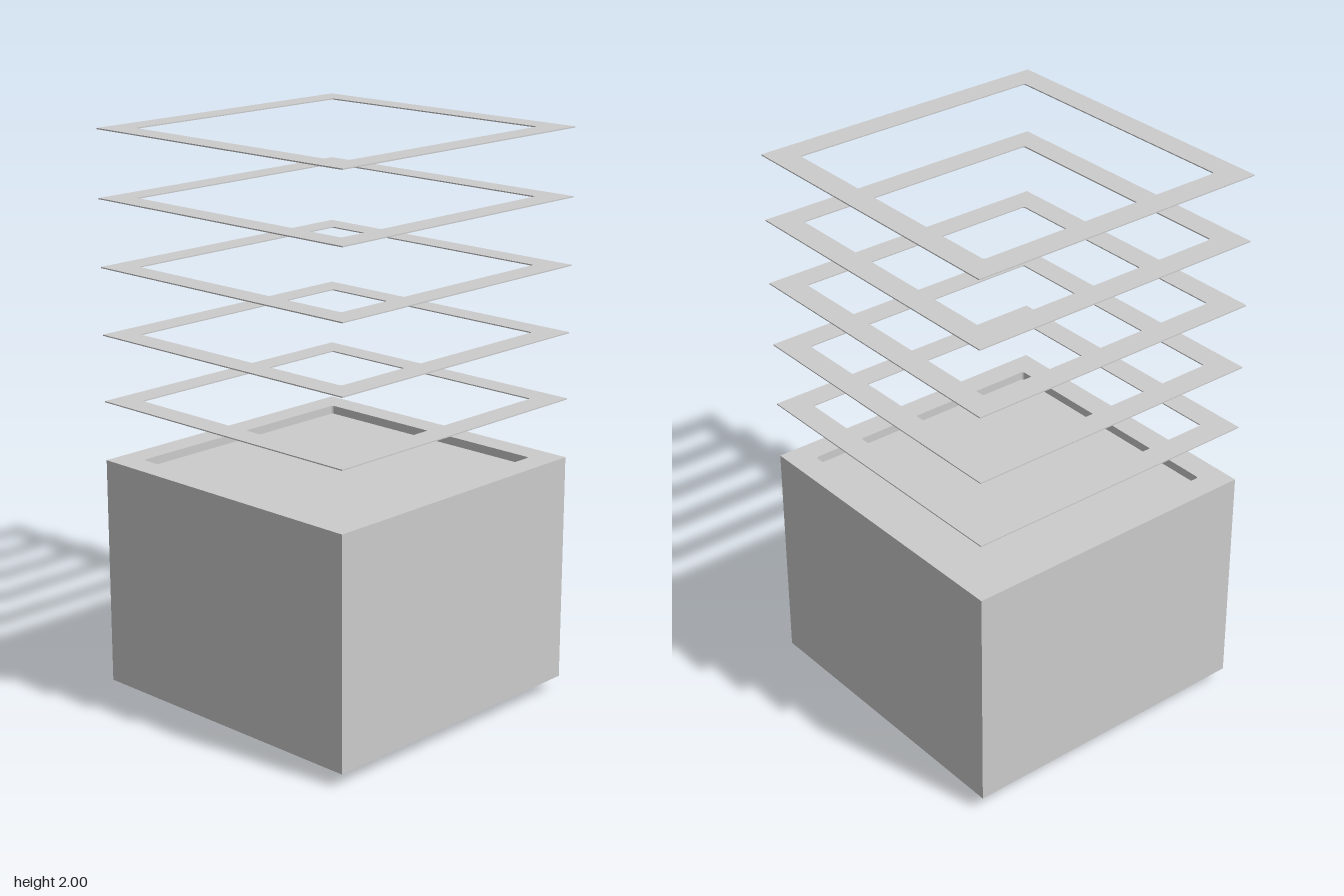
import * as THREE from 'three';

const OUTER = 0.556, INNER = 0.467, CORNER = 0.01;

// Square outline of half-size h with slightly rounded corners
function roundedSquare(h, r, PathType) {
  const p = new PathType();
  p.moveTo(h, -h + r);
  p.absarc(h - r, h - r, r, 0, Math.PI / 2);
  p.absarc(-h + r, h - r, r, Math.PI / 2, Math.PI);
  p.absarc(-h + r, -h + r, r, Math.PI, Math.PI * 1.5);
  p.absarc(h - r, -h + r, r, Math.PI * 1.5, Math.PI * 2);
  return p;
}

// Square frame standing on y = 0 with the given height
function frameGeometry(height) {
  const shape = new THREE.Shape([
    new THREE.Vector2(-OUTER, -OUTER), new THREE.Vector2(OUTER, -OUTER),
    new THREE.Vector2(OUTER, OUTER), new THREE.Vector2(-OUTER, OUTER),
  ]);
  shape.holes.push(roundedSquare(INNER, CORNER, THREE.Path));
  return new THREE.ExtrudeGeometry(shape, { depth: height, bevelEnabled: false, curveSegments: 4 })
    .rotateX(-Math.PI / 2);
}

export function createModel() {
  const group = new THREE.Group();
  const material = new THREE.MeshStandardMaterial({ color: 0xcccccc });
  const add = (name, geometry, y) => {
    const mesh = new THREE.Mesh(geometry, material);
    mesh.name = name;
    mesh.position.y = y;
    group.add(mesh);
  };

  // Box: plinth, outer walls and shallow recessed top panel
  add('plinth', new THREE.BoxGeometry(0.96, 0.05, 0.96), 0.025);
  add('bodyWalls', frameGeometry(0.81), 0.05);
  const panel = new THREE.ShapeGeometry(roundedSquare(INNER, CORNER, THREE.Shape), 4);
  add('recessedPanel', panel.rotateX(-Math.PI / 2), 0.83);

  // Five thin frames floating above the box
  const thickness = 0.004;
  const ring = frameGeometry(thickness);
  for (let i = 0; i < 5; i++) {
    add(`floatingFrame${i + 1}`, ring, 2 - thickness - (4 - i) * 0.2325);
  }
  return group;
}
